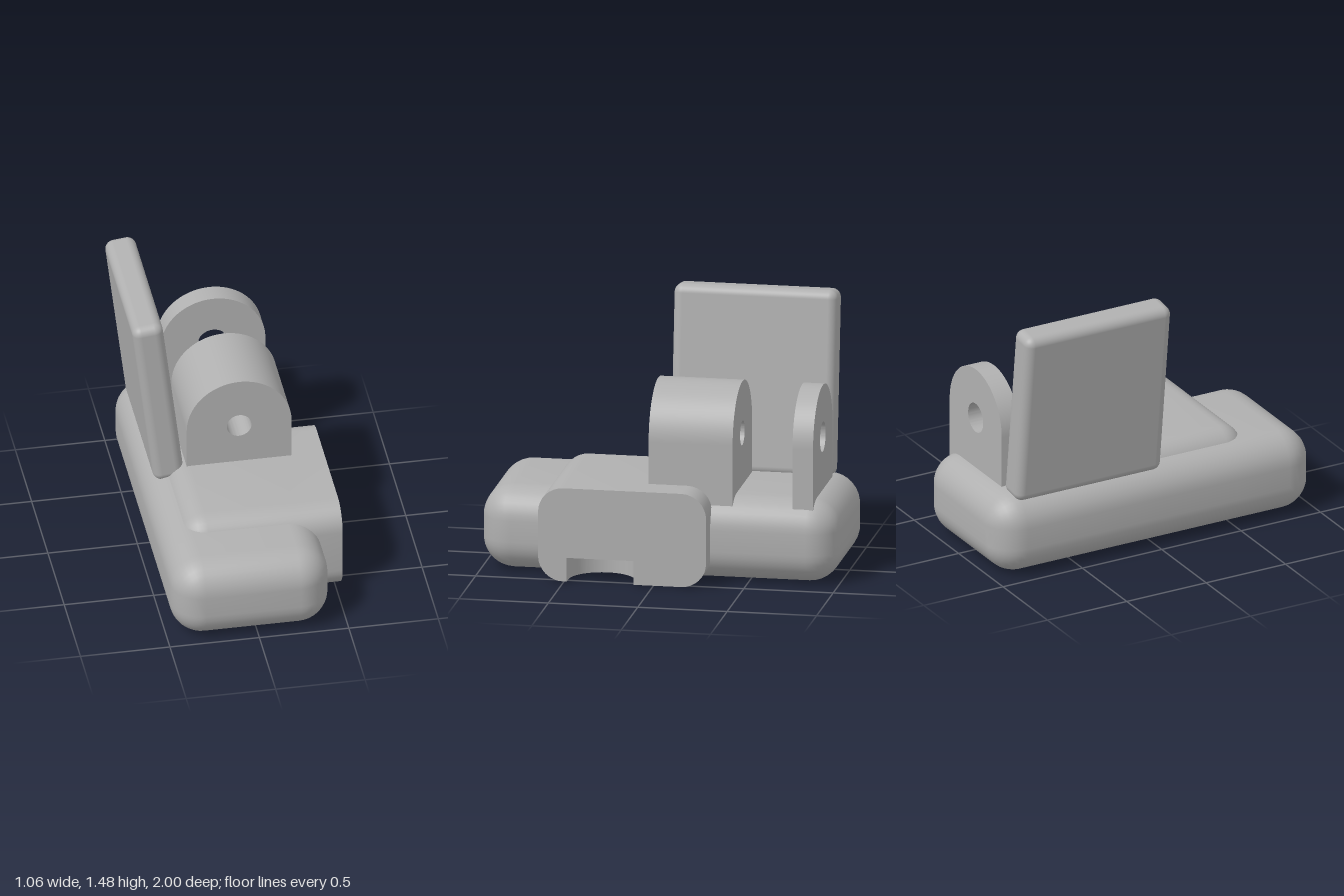
import * as THREE from 'three';
import { toCreasedNormals } from 'three/addons/utils/BufferGeometryUtils.js';
import { RoundedBoxGeometry } from 'three/addons/geometries/RoundedBoxGeometry.js';

const STEPS = 8;

// Rounded rectangle as a counter-clockwise list of points
function roundedRect(x0, x1, y0, y1, r) {
  const pts = [];
  const corners = [[x1 - r, y0 + r], [x1 - r, y1 - r], [x0 + r, y1 - r], [x0 + r, y0 + r]];
  corners.forEach(([cx, cy], k) => {
    for (let i = 0; i <= STEPS; i++) {
      const a = (k - 1 + i / STEPS) * Math.PI / 2;
      pts.push(new THREE.Vector2(cx + r * Math.cos(a), cy + r * Math.sin(a)));
    }
  });
  return pts;
}

// Skin a stack of { z, pts } sections and cap both ends
function loft(sections) {
  const n = sections[0].pts.length, pos = [], idx = [];
  sections.forEach(({ z, pts }) => pts.forEach(p => pos.push(p.x, p.y, z)));
  const last = (sections.length - 1) * n;
  for (let j = 0; j < last; j += n) {
    for (let i = 0; i < n; i++) {
      const k = (i + 1) % n;
      idx.push(j + i, j + k, j + n + k, j + i, j + n + k, j + n + i);
    }
  }
  for (let i = 1; i < n - 1; i++) {
    idx.push(0, i + 1, i, last, last + i, last + i + 1);
  }
  const g = new THREE.BufferGeometry();
  g.setAttribute('position', new THREE.Float32BufferAttribute(pos, 3));
  g.setIndex(idx);
  return toCreasedNormals(g, 0.6);
}

// Sections of a spherically rounded end; dir -1 opens it, +1 closes it
function roundedEnd(zEnd, dir, x0, x1, y0, y1, r) {
  const out = [];
  for (let i = 0; i <= STEPS; i++) {
    const a = i / STEPS * Math.PI / 2;
    const e = r * (1 - Math.cos(a));
    out.push({
      z: zEnd - dir * r * (1 - Math.sin(a)),
      pts: roundedRect(x0 + e, x1 - e, y0 + e, y1 - e, Math.max(r - e, 0.0005)),
    });
  }
  return dir < 0 ? out.reverse() : out;
}

function extrude(shape, depth) {
  const g = new THREE.ExtrudeGeometry(shape, { depth, bevelEnabled: false, curveSegments: 32 });
  return toCreasedNormals(g, 0.5);
}

// Arched lug with a pin hole
function lugGeometry(depth, holeRadius) {
  const cx = 0.058, cy = 0.767, r = 0.293;
  const s = new THREE.Shape();
  s.moveTo(cx - r, 0.3);
  s.lineTo(cx + r, 0.3);
  s.lineTo(cx + r, cy);
  s.absarc(cx, cy, r, 0, Math.PI, false);
  s.closePath();
  s.holes.push(new THREE.Path().absarc(cx, cy, holeRadius, 0, Math.PI * 2, true));
  return extrude(s, depth);
}

export function createModel() {
  const model = new THREE.Group();
  const grey = new THREE.MeshStandardMaterial({ color: 0xb0b0b0 });
  grey.name = 'grey';
  const add = (name, geometry, parent = model) => {
    const m = new THREE.Mesh(geometry, grey);
    m.name = name;
    parent.add(m);
    return m;
  };

  // Long rounded base, drawn in behind the recess of the side block
  const baseBox = [-0.47, 0.41, 0, 0.47, 0.175];
  const midSections = [[0.08, 0.41], [0.1, 0.27], [0.49, 0.27], [0.505, 0.41]]
    .map(([z, x1]) => ({ z, pts: roundedRect(-0.47, x1, 0, 0.47, 0.175) }));
  add('base', loft([
    ...roundedEnd(-1, -1, ...baseBox),
    ...midSections,
    ...roundedEnd(1, 1, ...baseBox),
  ]));

  // Side block, running along x: rounded inner end, flat outer end
  const sideBlock = new THREE.Group();
  sideBlock.name = 'sideBlock';
  model.add(sideBlock);
  const blockBox = [-0.645, 0.295, 0, 0.53, 0.14];
  const inner = loft([
    ...roundedEnd(-0.355, -1, ...blockBox),
    { z: 0.28, pts: roundedRect(...blockBox) },
  ]);
  add('blockBody', inner.rotateY(Math.PI / 2), sideBlock);

  // Outer part with a notch in its underside
  const profile = roundedRect(...blockBox);
  profile.push(...[[-0.485, 0], [-0.485, 0.135], [-0.11, 0.135], [-0.11, 0]]
    .map(p => new THREE.Vector2(...p)));
  const outer = extrude(new THREE.Shape(profile), 0.25);
  add('blockEnd', outer.rotateY(Math.PI / 2).translate(0.28, 0, 0), sideBlock);

  // Curved back wall of the notch
  const wall = new THREE.Shape();
  wall.moveTo(0.28, -0.485);
  wall.lineTo(0.48, -0.485);
  wall.absarc(0.48, -0.2975, 0.1875, -Math.PI / 2, Math.PI / 2, true);
  wall.lineTo(0.28, -0.11);
  wall.closePath();
  add('recessWall', extrude(wall, 0.135).rotateX(-Math.PI / 2), sideBlock);

  // Thick front lug and thin back lug
  add('frontLug', lugGeometry(0.47, 0.069)).position.z = -0.41;
  add('backLug', lugGeometry(0.115, 0.085)).position.z = -0.86;

  // Leaning plate
  const plate = add('leaningPlate', new RoundedBoxGeometry(0.172, 1.042, 0.915, 6, 0.05));
  plate.position.set(-0.3885, 0.956, -0.4025);
  plate.rotation.z = THREE.MathUtils.degToRad(6.9);

  return model;
}
